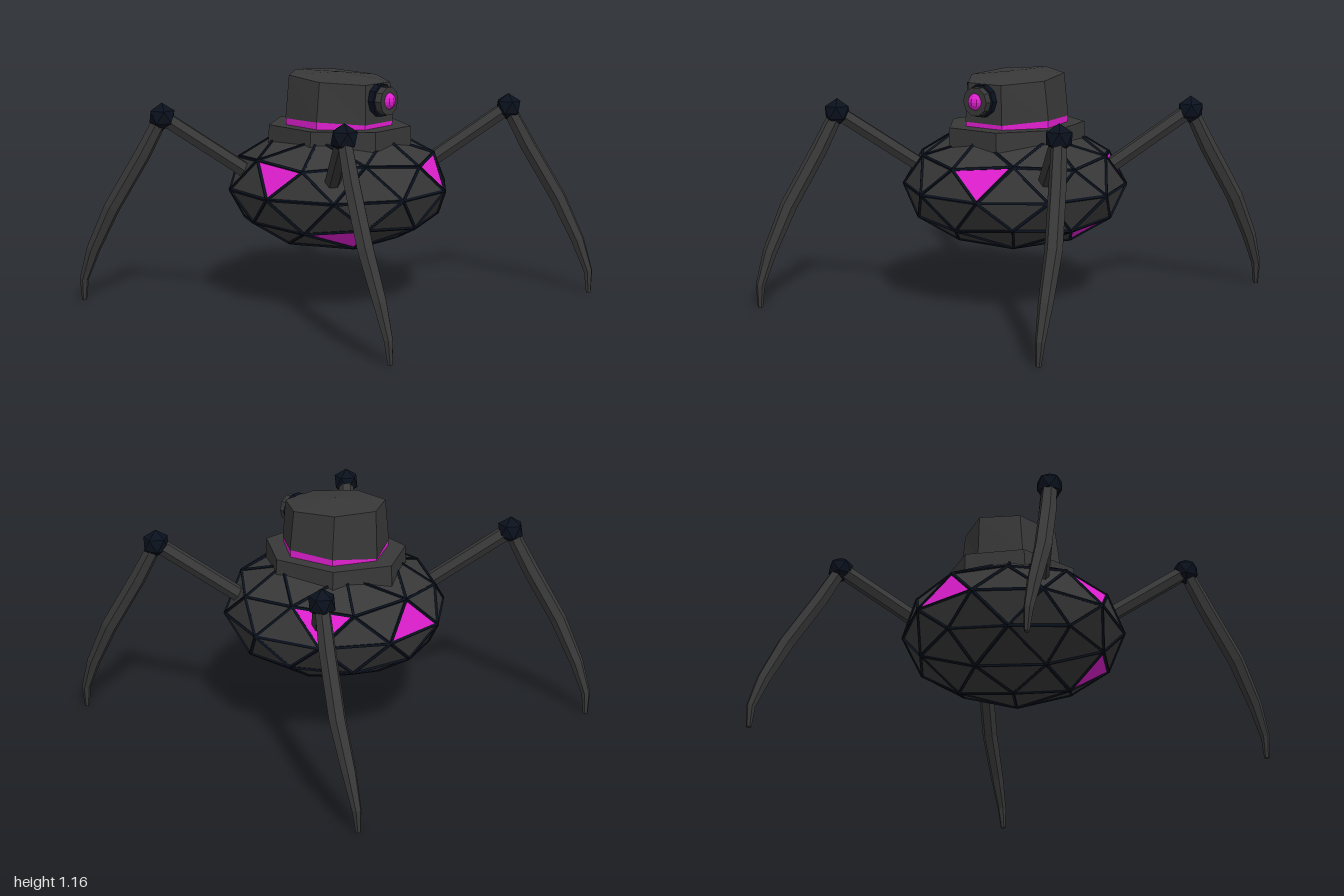
import * as THREE from 'three';
import { mergeGeometries } from 'three/addons/utils/BufferGeometryUtils.js';

const V = (x, y, z) => new THREE.Vector3(x, y, z);
const mat = (color) => new THREE.MeshStandardMaterial({ color, flatShading: true, roughness: 0.8 });

// Non-indexed geometry from a flat list of corner points
function fromPoints(points) {
  const geo = new THREE.BufferGeometry().setFromPoints(points);
  geo.computeVertexNormals();
  return geo;
}

// Skin a series of equal-sized rings and cap both ends
function loft(rings) {
  const pts = [], n = rings[0].length;
  const centre = (ring) => ring.reduce((s, p) => s.add(p), V(0, 0, 0)).divideScalar(n);
  const first = rings[0], last = rings[rings.length - 1];
  for (let i = 0; i < n; i++) {
    const j = (i + 1) % n;
    for (let k = 0; k < rings.length - 1; k++) {
      const a = rings[k][i], b = rings[k][j], c = rings[k + 1][j], d = rings[k + 1][i];
      pts.push(a, d, c, a, c, b);
    }
    pts.push(centre(first), first[i], first[j], centre(last), last[j], last[i]);
  }
  return fromPoints(pts);
}

// Seven-sided ring, a corner towards -x; height may vary with x and z
function ring7(rx, rz, height) {
  return Array.from({ length: 7 }, (_, i) => {
    const a = Math.PI + (i * 2 * Math.PI) / 7;
    const x = rx * Math.cos(a), z = rz * Math.sin(a);
    return V(x, typeof height === 'function' ? height(x, z) : height, z);
  });
}

// Six-sided limb along points given as [x, y, z, radius]
function limb(path) {
  const p = path.map(([x, y, z]) => V(x, y, z));
  const side = p[p.length - 1].clone().sub(p[0]).cross(V(0, 1, 0)).normalize();
  return loft(p.map((c, i) => {
    const t = p[Math.min(i + 1, p.length - 1)].clone().sub(p[Math.max(i - 1, 0)]).normalize();
    const u = side.clone().addScaledVector(t, -side.dot(t)).normalize();
    const v = u.clone().cross(t);
    return Array.from({ length: 6 }, (_, k) => {
      const a = (k * Math.PI) / 3, r = path[i][3];
      return c.clone().addScaledVector(u, r * Math.cos(a)).addScaledVector(v, r * Math.sin(a));
    });
  }));
}

// Square bar between two points
function strut(a, b, r) {
  const d = b.clone().sub(a);
  const g = new THREE.CylinderGeometry(r, r, d.length(), 4, 1);
  g.applyQuaternion(new THREE.Quaternion().setFromUnitVectors(V(0, 1, 0), d.normalize()));
  return g.translate(...a.clone().add(b).multiplyScalar(0.5).toArray());
}

// Flattened 80-sided ball: five wedges above, five below turned by 36 degrees
function bodyFaces() {
  const R = 0.563, H = 0.316, Y = 0.593;
  const level = { T: [0, 1], P: [0.526, 0.851], U: [0.894, 0.447], M: [0.851, 0.526], E: [1, 0], L: [0.894, -0.447] };
  const wedge = ['T0 P0 P72', 'P0 U0 M36', 'P72 M36 U72', 'P0 P72 M36',
    'U0 M36 E18', 'M36 U72 E54', 'M36 E54 E18', 'E18 E54 L36'];
  const lit = ['1 1 4', '1 4 5', '1 2 6', '1 3 4', '-1 0 1', '-1 3 1'];
  const faces = [];
  for (const s of [1, -1]) for (let k = 0; k < 5; k++) wedge.forEach((f, i) => {
    const tri = f.split(' ').map((name) => {
      const [r, y] = level[name[0]];
      const a = THREE.MathUtils.degToRad(Number(name.slice(1)) + 72 * k + (s < 0 ? 36 : 0));
      return V(R * r * Math.cos(a), Y + s * H * y, R * r * Math.sin(a));
    });
    const normal = tri[1].clone().sub(tri[0]).cross(tri[2].clone().sub(tri[0]));
    if (normal.dot(tri[0].clone().add(tri[1]).add(tri[2]).sub(V(0, 3 * Y, 0))) < 0) tri.reverse();
    faces.push({ tri, lit: lit.includes(`${s} ${k} ${i}`) });
  });
  return faces;
}

export function createModel() {
  const model = new THREE.Group();
  const grey = mat(0x383838), navy = mat(0x0a111d), magenta = mat(0xe01fd0);
  const add = (name, geo, material, parent = model) => {
    const mesh = new THREE.Mesh(geo, material);
    mesh.name = name;
    parent.add(mesh);
    return mesh;
  };

  // Body panels, glowing panels and the frame along their edges
  const faces = bodyFaces();
  const pick = (lit) => fromPoints(faces.filter((f) => f.lit === lit).flatMap((f) => f.tri));
  add('bodyPanels', pick(false), grey);
  add('glowingPanels', pick(true), magenta);
  const edges = new Map();
  const key = (p) => p.toArray().map((c) => Math.round(c * 1000) + 0).join();
  for (const { tri } of faces) tri.forEach((a, i) => {
    const b = tri[(i + 1) % 3];
    edges.set([key(a), key(b)].sort().join('|'), [a, b]);
  });
  add('bodyFrame', mergeGeometries([...edges.values()].map(([a, b]) => strut(a, b, 0.009))), navy);

  // Head: collar, glowing band and crown with a low peak
  const hem = (x, z) => 0.918 + 0.1 * Math.abs(z);
  add('collar', loft([ring7(0.385, 0.345, 0.79), ring7(0.382, 0.335, 0.907)]), grey);
  add('headBand', loft([ring7(0.282, 0.26, 0.89), ring7(0.282, 0.26, hem)]), magenta);
  add('crown', loft([
    ring7(0.285, 0.262, hem),
    ring7(0.275, 0.235, (x) => 1.143 - 0.07 * x),
    ring7(0.01, 0.01, 1.168),
  ]), grey);

  // Eye on the +x side of the head
  const eye = new THREE.Group();
  eye.name = 'eye';
  eye.position.set(0, 1.045, 0.003);
  model.add(eye);
  const barrel = (r, x0, x1) => new THREE.CylinderGeometry(r, r, x1 - x0, 10)
    .rotateZ(-Math.PI / 2).translate((x0 + x1) / 2, 0, 0);
  add('eyeMount', barrel(0.083, 0.2, 0.285), navy, eye);
  add('eyeBarrel', barrel(0.072, 0.28, 0.322), grey, eye);
  add('eyeLens', new THREE.SphereGeometry(0.045, 10, 8), magenta, eye).position.x = 0.305;

  // Four legs: thigh, knee and tapering shin
  const tilt = Math.atan(2 / (1 + Math.sqrt(5)));
  for (const sx of [1, -1]) for (const sz of [1, -1]) {
    const leg = new THREE.Group();
    leg.name = `${sz > 0 ? 'front' : 'back'}${sx > 0 ? 'Left' : 'Right'}Leg`;
    model.add(leg);
    const mirror = (path) => path.map(([x, y, z, r]) => [sx * x, y, sz * z, r]);
    add('thigh', limb(mirror([[0.28, 0.69, 0.4, 0.04], [0.572, 0.965, 0.685, 0.04]])), grey, leg);
    add('shin', limb(mirror([
      [0.572, 0.965, 0.685, 0.036], [0.66, 0.77, 0.74, 0.042], [0.8, 0.5, 0.82, 0.042],
      [0.905, 0.28, 0.853, 0.035], [0.963, 0.12, 0.866, 0.023], [0.97, 0.01, 0.862, 0.013],
    ])), grey, leg);
    add('knee', new THREE.IcosahedronGeometry(0.07, 0).rotateZ(tilt), navy, leg)
      .position.set(sx * 0.572, 0.965, sz * 0.685);
  }
  return model;
}
